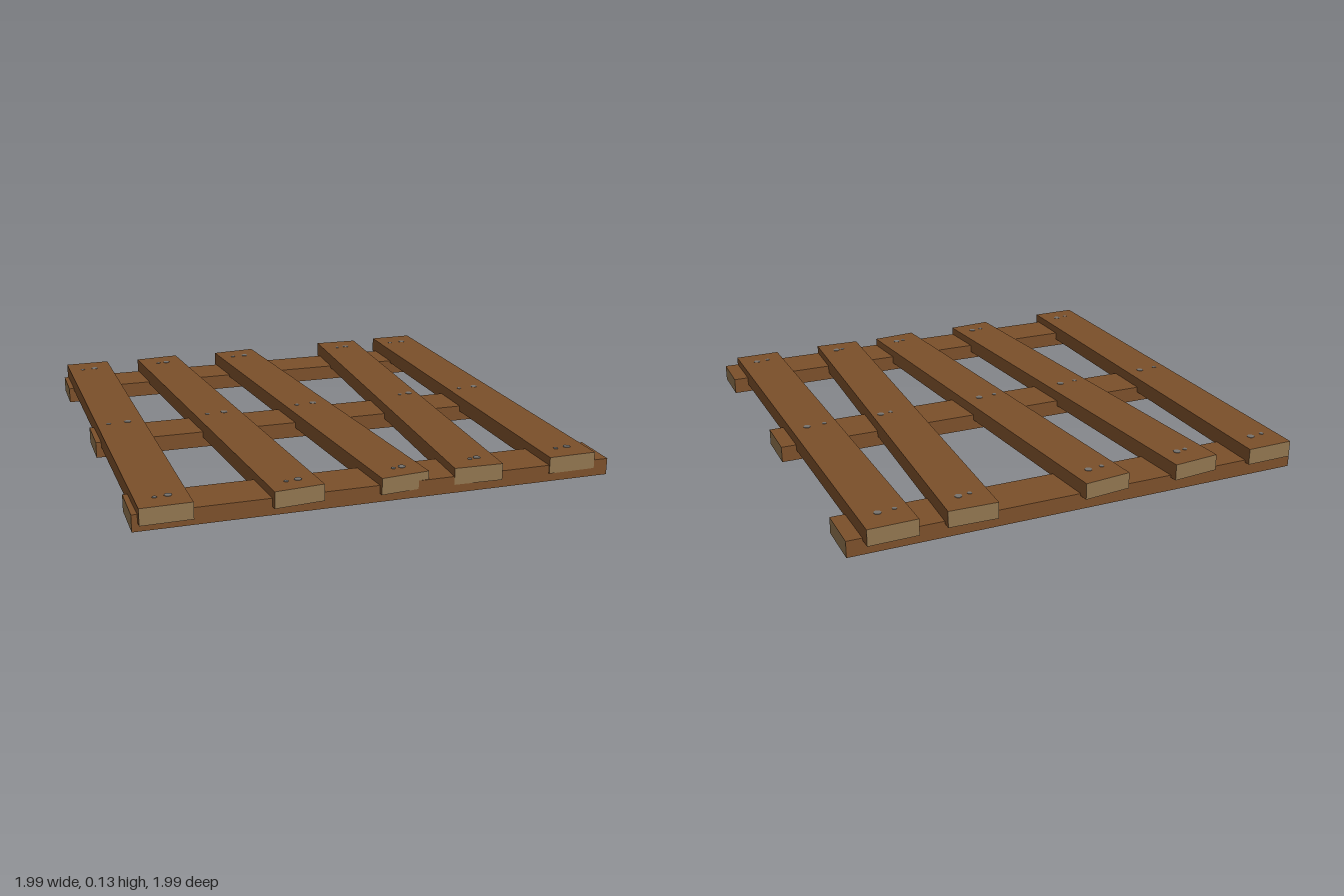
import * as THREE from 'three';

const wood = new THREE.MeshStandardMaterial({ name: 'brown wood', color: 0x7b4f2a });
const endGrain = new THREE.MeshStandardMaterial({ name: 'pale end grain', color: 0x90754f });
const steel = new THREE.MeshStandardMaterial({ name: 'nail grey', color: 0x77736e });

const THICK = 0.07, WIDTH = 0.207;

// A plank running along z from its back end to its front end, with pale sawn ends
function plank(name, back, front, bottom) {
  const dx = front[0] - back[0], dz = front[1] - back[1];
  const geometry = new THREE.BoxGeometry(WIDTH, THICK, Math.hypot(dx, dz));
  const mesh = new THREE.Mesh(geometry, [wood, wood, wood, wood, endGrain, endGrain]);
  mesh.name = name;
  mesh.position.set((back[0] + front[0]) / 2, bottom + THICK / 2, (back[1] + front[1]) / 2);
  mesh.rotation.y = Math.atan2(dx, dz);
  return mesh;
}

export function createModel() {
  const group = new THREE.Group();
  group.name = 'palletPanel';

  // Three crossbars, each slightly askew and stepped up towards the front
  const bars = [
    ['backCrossbar', -0.87, -0.84, 0],
    ['middleCrossbar', 0.005, 0.037, 0.015],
    ['frontCrossbar', 0.856, 0.888, 0.025],
  ];
  for (const [name, zRight, zLeft, y] of bars) {
    group.add(plank(name, [-0.995, zRight], [0.99, zLeft], y));
  }

  // Five top boards: x of the back end, x of the front end
  const boards = [[-0.87, -0.87], [-0.507, -0.35], [-0.09, 0.087], [0.497, 0.402], [0.823, 0.823]];
  boards.forEach(([xBack, xFront], i) => {
    const inset = Math.abs(xFront - xBack) * 0.05;
    group.add(plank('topBoard' + (i + 1), [xBack, -0.997 + inset], [xFront, 0.992 - inset], 0.06));
  });

  // Nail heads: a small and a large one where each board crosses a bar
  const nailRows = [
    [-0.886, [-0.91, -0.85, -0.52, -0.477, -0.12, -0.056, 0.465, 0.515, 0.775, 0.845]],
    [0.002, [-0.922, -0.837, -0.475, -0.396, -0.05, 0.03, 0.465, 0.513, 0.775, 0.855]],
    [0.895, [-0.896, -0.843, -0.38, -0.33, 0.067, 0.105, 0.402, 0.435, 0.795, 0.85]],
  ];
  for (const [z, xs] of nailRows) {
    xs.forEach((x, i) => {
      const r = i % 2 ? 0.016 : 0.01;
      const nail = new THREE.Mesh(new THREE.CylinderGeometry(r, r, 0.006, 8), steel);
      nail.name = 'nailHead';
      nail.position.set(x, 0.129, z + (i % 2 ? 0 : 0.006));
      group.add(nail);
    });
  }
  return group;
}
